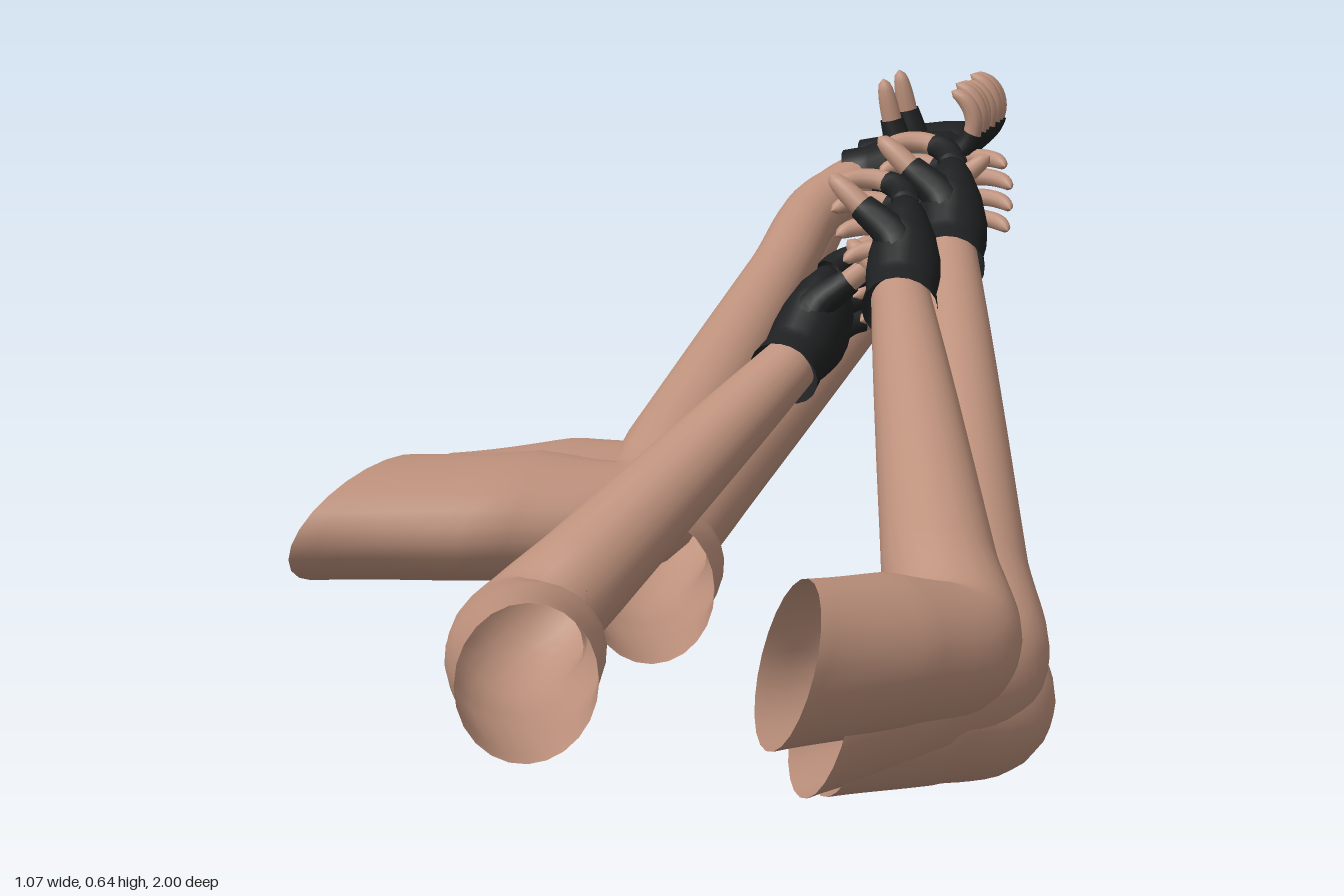
import * as THREE from 'three';

const V = (x, y, z) => new THREE.Vector3(x, y, z);
const UP = V(0, 1, 0);
const skin = new THREE.MeshStandardMaterial({ color: 0xbd917c, side: THREE.DoubleSide });
skin.name = 'skin';
const glove = new THREE.MeshStandardMaterial({ color: 0x1f2021, side: THREE.DoubleSide });
glove.name = 'black glove';

// Reads evenly spaced values at u in 0..1.
function sample(list, u) {
  const f = u * (list.length - 1), k = Math.min(Math.floor(f), list.length - 2);
  return THREE.MathUtils.lerp(list[k], list[k + 1], f - k);
}

// Smooth tube through points. radius(u) gives [sideways, other], ref steers
// the ellipse, cut is an optional normal for a slanted open start.
function tube(name, mat, pts, radius, ref, segs, sides, cut) {
  const curve = new THREE.CatmullRomCurve3(pts);
  const pos = [], index = [];
  for (let i = 0; i <= segs; i++) {
    const u = i / segs, c = curve.getPoint(u), t = curve.getTangent(u);
    if (cut) t.lerp(cut, 1 - THREE.MathUtils.smoothstep(u, 0, 0.3)).normalize();
    const a = t.clone().cross(ref).normalize(), b = t.clone().cross(a);
    const [ra, rb] = radius(u);
    for (let j = 0; j < sides; j++) {
      const w = (j / sides) * Math.PI * 2;
      const p = c.clone().addScaledVector(a, ra * Math.cos(w)).addScaledVector(b, rb * Math.sin(w));
      pos.push(p.x, p.y, p.z);
      if (i < segs) {
        const p0 = i * sides + j, p1 = i * sides + ((j + 1) % sides);
        index.push(p0, p1, p0 + sides, p1, p1 + sides, p0 + sides);
      }
    }
  }
  const g = new THREE.BufferGeometry();
  g.setAttribute('position', new THREE.Float32BufferAttribute(pos, 3));
  g.setIndex(index);
  g.computeVertexNormals();
  const m = new THREE.Mesh(g, mat);
  m.name = name;
  return m;
}

// Fingers: a gloved sleeve that tapers, and a bare rounded tip.
const sleeve = (r) => (u) => [r * (1 - 0.15 * u), r * (1 - 0.15 * u)];
const tip = (r) => (u) => {
  const k = r * Math.sqrt(1 - u ** 4);
  return [k, k];
};

// Fingerless glove with bare fingertips. f: forward, palm: palm side, side: thumb side.
function makeHand(wrist, f, palm, side, thumb) {
  const hand = new THREE.Group();
  hand.name = 'hand';
  hand.position.copy(wrist);
  hand.scale.setScalar(1.18);
  f.normalize();
  const n = palm.clone().addScaledVector(f, -palm.dot(f)).normalize();
  const s = f.clone().cross(n);
  if (s.dot(side) < 0) s.negate();
  const at = (x, y, z) => V(0, 0, 0).addScaledVector(f, x).addScaledVector(n, y).addScaledVector(s, z);

  // cuff and palm
  const wide = [0.04, 0.038, 0.046, 0.055, 0.058, 0.053, 0.001];
  const thick = [0.04, 0.037, 0.04, 0.039, 0.034, 0.026, 0.001];
  const line = wide.map((_, i) => at(-0.02 + i * 0.028, 0, 0));
  hand.add(tube('glovePalm', glove, line, (u) => [sample(wide, u), sample(thick, u)], n, 24, 20));

  // four fingers curled along an arc
  for (let i = 0; i < 4; i++) {
    const z = (1.5 - i) * 0.028, r = 0.048 - 0.003 * Math.abs(i - 1.3);
    const arc = (from, to) => Array.from({ length: 5 }, (_, k) => {
      const w = from + (to - from) * k / 4;
      return at(0.122 + r * Math.sin(w), r * (1 - Math.cos(w)), z * (1 + 0.06 * w));
    });
    hand.add(tube('gloveFinger', glove, arc(0, 1), sleeve(0.0155), s, 6, 10));
    hand.add(tube('fingertip', skin, arc(0.9, 2.5), tip(0.0115), s, 12, 10));
  }

  // thumb
  const q = (k) => at(0.055, 0, 0.03).addScaledVector(f, thumb.x * k)
    .addScaledVector(n, thumb.y * k).addScaledVector(s, thumb.z * k);
  const ref = V(0.3, 0.6, 0.75);
  hand.add(tube('gloveThumb', glove, [at(0.03, 0, 0.012), q(0.01), q(0.065)],
    (u) => [0.027 - 0.012 * u, 0.027 - 0.012 * u], ref, 8, 12));
  hand.add(tube('thumbTip', skin, [q(0.055), q(0.118)], tip(0.013), ref, 10, 10));
  return hand;
}

// Bare arm, open at the shoulder end. rest holds the points from elbow to wrist.
function makeArm(name, open, elbow, rest, width, cut) {
  const end = rest[0];
  const along = [0.2, 0.5, 0.78].map((k) => elbow.clone().lerp(end, k));
  const pts = [open, open.clone().lerp(elbow, 0.55), elbow, ...along, ...rest];
  const wide = [width, width * 0.9, 0.078, 0.066, 0.056, 0.046, 0.037];
  const high = [0.09, 0.085, 0.075, 0.066, 0.056, 0.046, 0.037];
  if (rest.length > 1) {
    wide.splice(6, 0, 0.044);
    high.splice(6, 0, 0.044);
  }
  const arm = new THREE.Group();
  arm.name = name;
  arm.add(tube('bareArm', skin, pts, (u) => [sample(wide, u), sample(high, u)], UP, 48, 24, cut.normalize()));
  return arm;
}

// Arm reaching to the back with a sideways palm; dir is the x side the palm faces.
function reachingArm(name, dir, open, elbow, wrist) {
  const arm = makeArm(name, open, elbow, [wrist], 0.112, V(-0.9 * dir, -0.33, -0.43));
  arm.add(makeHand(wrist, V(0.15 * dir, 0.38, -0.9), V(dir, 0, 0), UP, V(0.45, 0.65, 0.5)));
  return arm;
}

// Wide arm with a bent wrist and an upturned palm; i steps to the neighbour.
function upturnedArm(name, i) {
  const open = V(-0.49 + 0.03 * i, 0.12 - 0.02 * i, 0.1 - 0.1 * i);
  const wrist = V(-0.03, 0.455, -0.815 - 0.105 * i);
  const arm = makeArm(name, open, V(-0.15, 0.118, -0.02 - 0.12 * i),
    [V(-0.085, 0.415, -0.73 - 0.1 * i), wrist], 0.165, V(1, -0.44, 0.23));
  arm.add(makeHand(wrist, V(0.95, 0.3, -0.05), V(-0.25, 0.95, 0), V(0, 0, 1), V(0.1, 1, 0.1)));
  return arm;
}

export function createModel() {
  const model = new THREE.Group();
  model.name = 'reachingArms';
  // rear group: two side by side, one reaching under them
  model.add(
    upturnedArm('rearArmOuter', 0),
    upturnedArm('rearArmInner', 1),
    reachingArm('rearArmLower', 1, V(-0.02, 0.12, 0.32), V(-0.12, 0.08, 0.01), V(0.08, 0.375, -0.625)),
  );
  // front group: one from the right, three stacked on the left
  model.add(
    reachingArm('frontRightArm', 1, V(-0.05, 0.115, 0.69), V(-0.15, 0.085, 0.42), V(0.073, 0.345, 0.01)),
    reachingArm('frontLeftArmTop', -1, V(0.31, 0.235, 0.9), V(0.43, 0.195, 0.66), V(0.25, 0.468, 0.145)),
    reachingArm('frontLeftArmMiddle', -1, V(0.32, 0.15, 0.8), V(0.445, 0.15, 0.58), V(0.28, 0.497, 0.01)),
    reachingArm('frontLeftArmLower', -1, V(0.33, 0.135, 0.75), V(0.45, 0.095, 0.56), V(0.24, 0.36, 0.01)),
  );
  return model;
}
